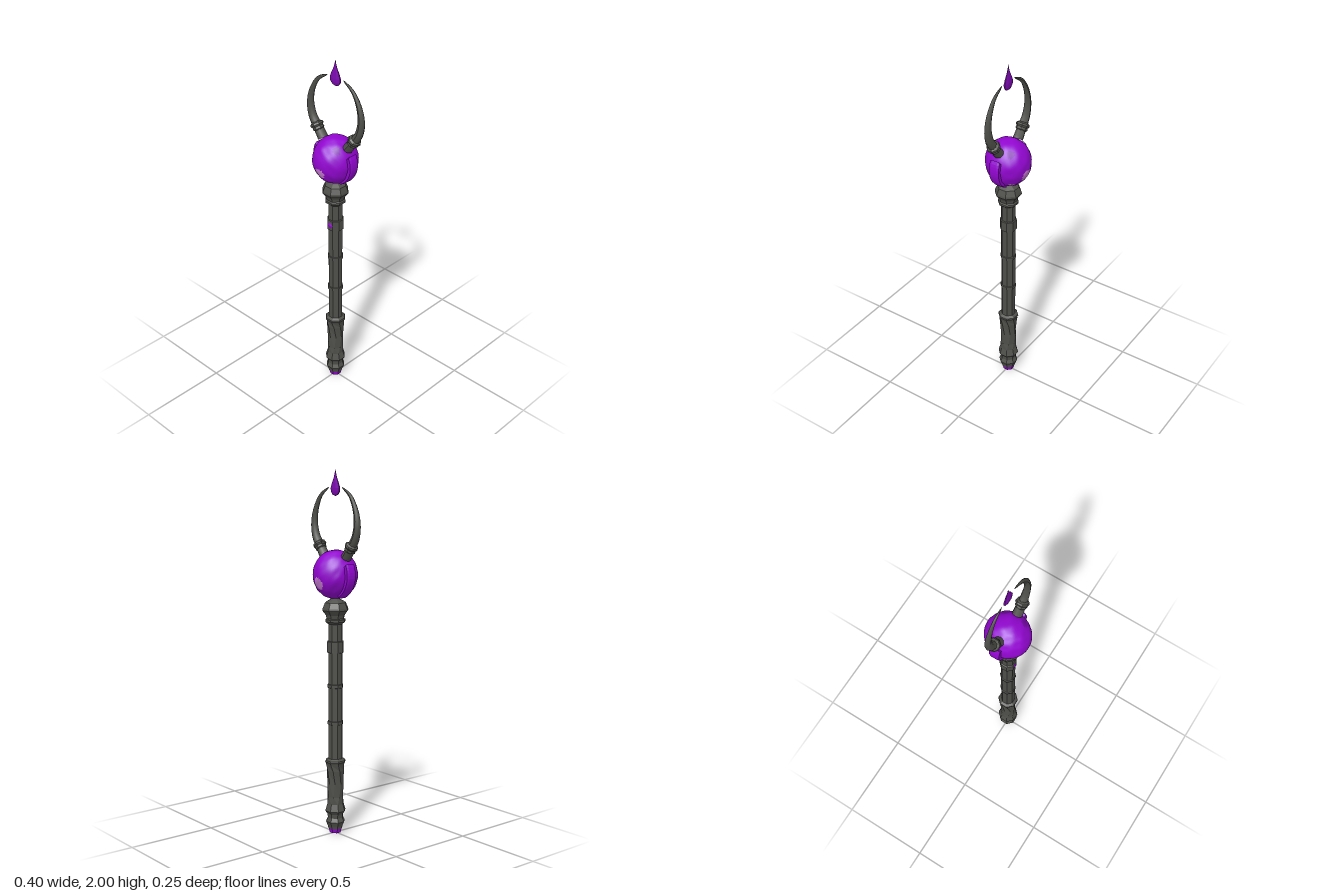
import * as THREE from 'three';
import { mergeVertices } from 'three/addons/utils/BufferGeometryUtils.js';

const stone = new THREE.MeshStandardMaterial({ color: 0x4e4f4a });
stone.name = 'dark stone';
const violet = new THREE.MeshStandardMaterial({ color: 0x9206d0 });
violet.name = 'violet crystal';
const deepViolet = new THREE.MeshStandardMaterial({ color: 0x7c0ab0 });
deepViolet.name = 'deep violet crystal';
const pale = new THREE.MeshStandardMaterial({ color: 0xcb7ed6 });
pale.name = 'pale glint';

// Gives every face its own normal
function faceted(geo) {
  const g = geo.index ? geo.toNonIndexed() : geo;
  g.computeVertexNormals();
  return g;
}

function add(parent, name, geo, material) {
  const mesh = new THREE.Mesh(geo, material);
  mesh.name = name;
  parent.add(mesh);
  return mesh;
}

// Eight-sided turned part with a flat side to the front; points are [half width, y]
function turned(points) {
  const k = 1 / Math.cos(Math.PI / 8);
  const pts = points.map(([r, y]) => new THREE.Vector2(r * k, y));
  return new THREE.LatheGeometry(pts, 8, Math.PI / 8, Math.PI * 2);
}

// Carved grip: the middle rings are turned so that the sides break into diagonals
function gripGeometry() {
  const geo = turned([[0.043, 0.17], [0.041, 0.21], [0.041, 0.29], [0.045, 0.36], [0.05, 0.4]]);
  const p = geo.attributes.position;
  for (let i = 0; i < p.count; i++) {
    const t = (p.getY(i) - 0.17) / 0.23;
    const a = Math.sin(t * Math.PI) * 0.45;
    const x = p.getX(i), z = p.getZ(i);
    p.setX(i, x * Math.cos(a) + z * Math.sin(a));
    p.setZ(i, z * Math.cos(a) - x * Math.sin(a));
  }
  return faceted(geo);
}

// Rough crystal ball; faces near the spot directions take another material
function orbGeometry() {
  const ball = new THREE.IcosahedronGeometry(1, 11);
  ball.deleteAttribute('normal');
  ball.deleteAttribute('uv');
  const geo = mergeVertices(ball);
  const p = geo.attributes.position;
  const v = new THREE.Vector3();
  for (let i = 0; i < p.count; i++) {
    v.fromBufferAttribute(p, i);
    const bump = Math.sin(v.x * 9 + v.y * 4) * Math.sin(v.y * 8 - v.z * 5) * Math.cos(v.z * 7 + 1);
    const r = 0.127 + 0.003 * bump;
    p.setXYZ(i, v.x * r * 0.93, v.y * r * 1.04, v.z * r * 0.97);
  }
  // x, y, z, size, material: pale glints low down, darker dents on the upper left
  const spots = [
    [-0.02, -0.37, 1, 0.24, 1], [0.03, -0.38, -1, 0.27, 1], [0.56, -0.82, -0.56, 0.13, 1],
    [0.5, 0.7, 0.45, 0.17, 2], [0.5, 0.7, -0.45, 0.17, 2],
  ].map(([x, y, z, size, part]) => ({ dir: new THREE.Vector3(x, y, z).normalize(), size, part }));
  const faces = [[], [], []];
  const index = geo.index.array;
  for (let i = 0; i < index.length; i += 3) {
    const corners = [index[i], index[i + 1], index[i + 2]];
    const c = new THREE.Vector3();
    for (const k of corners) c.add(v.fromBufferAttribute(p, k));
    c.normalize();
    const spot = spots.find((s) => c.distanceTo(s.dir) < s.size);
    faces[spot ? spot.part : 0].push(...corners);
  }
  geo.setIndex(faces.flat());
  geo.computeVertexNormals();
  geo.clearGroups();
  let start = 0;
  faces.forEach((list, part) => {
    geo.addGroup(start, list.length, part);
    start += list.length;
  });
  return geo;
}

// Crescent crystal shell that hugs one side of the orb
function shellGeometry() {
  const shape = new THREE.Shape();
  shape.absarc(0, 0, 0.133, -1.1, 0.45, false);
  shape.absarc(-0.012, 0, 0.122, 0.35, -1.0, true);
  shape.closePath();
  const geo = new THREE.ExtrudeGeometry(shape, {
    depth: 0.034, curveSegments: 7, bevelEnabled: true, bevelThickness: 0.012, bevelSize: 0.004, bevelSegments: 1,
  });
  return faceted(geo.translate(0, 0, -0.017));
}

// Tapering horn along a curve in the xy plane
function hornGeometry() {
  const path = [[0.088, 1.535], [0.127, 1.588], [0.163, 1.64], [0.178, 1.71], [0.165, 1.785], [0.122, 1.86], [0.055, 1.904]];
  const curve = new THREE.CatmullRomCurve3(path.map(([x, y]) => new THREE.Vector3(x, y, 0)));
  const rings = 28, sides = 8;
  const geo = new THREE.TubeGeometry(curve, rings, 1, sides);
  const p = geo.attributes.position;
  const v = new THREE.Vector3();
  for (let i = 0; i < p.count; i++) {
    const t = Math.floor(i / (sides + 1)) / rings;
    const c = curve.getPointAt(t);
    const r = 0.0015 + 0.027 * Math.pow(1 - t, 0.6);
    v.fromBufferAttribute(p, i).sub(c);
    p.setXYZ(i, c.x + v.x * r, c.y + v.y * r, v.z * r * (1 - 0.35 * t));
  }
  geo.computeVertexNormals();
  return geo;
}

export function createModel() {
  const model = new THREE.Group();
  model.name = 'staff';

  // Pommel
  add(model, 'pommelTip', faceted(turned([[0, 0], [0.03, 0.003], [0.036, 0.03], [0, 0.03]])), violet);
  add(model, 'pommel', faceted(turned([
    [0, 0.028], [0.037, 0.028], [0.041, 0.045], [0.05, 0.068], [0.04, 0.09], [0.042, 0.112],
    [0.054, 0.13], [0.05, 0.145], [0.043, 0.17],
  ])), stone);

  // Grip and its top ring
  add(model, 'grip', gripGeometry(), stone);
  add(model, 'gripRing', faceted(turned([[0.042, 0.385], [0.054, 0.41], [0.052, 0.418], [0.037, 0.428]])), stone);

  // Shaft and its bands
  add(model, 'shaft', faceted(turned([[0.037, 0.4], [0.037, 1.2]])), stone);
  for (const [y, h, r] of [[0.63, 0.016, 0.041], [0.835, 0.016, 0.041], [1.05, 0.06, 0.043]]) {
    add(model, 'shaftBand', faceted(turned([
      [0.036, y - h / 2 - 0.003], [r, y - h / 2], [r, y + h / 2], [0.036, y + h / 2 + 0.003],
    ])), stone);
  }
  const gem = add(model, 'shaftGem', faceted(new THREE.OctahedronGeometry(0.019)), violet);
  gem.position.set(0, 1.05, 0.043);
  gem.scale.z = 0.3;

  // Head socket
  add(model, 'socket', faceted(turned([
    [0.037, 1.175], [0.052, 1.188], [0.052, 1.2], [0.045, 1.205], [0.05, 1.225], [0.068, 1.25],
    [0.066, 1.262], [0.054, 1.292], [0.034, 1.305], [0, 1.325],
  ])), stone);

  // Orb
  add(model, 'orb', orbGeometry(), [violet, pale, deepViolet]).position.y = 1.443;

  // Shells and horns, one set for each side
  const shell = shellGeometry();
  const horn = hornGeometry();
  const collar = faceted(turned([
    [0.024, -0.024], [0.03, -0.018], [0.028, -0.006], [0.035, 0.004], [0.032, 0.014], [0.02, 0.022],
  ]));
  for (const turn of [0, Math.PI]) {
    const side = new THREE.Group();
    side.name = turn ? 'rightSide' : 'leftSide';
    side.rotation.y = turn;
    add(side, 'orbShell', shell, violet).position.y = 1.443;
    add(side, 'horn', horn, stone);
    const ring = add(side, 'hornCollar', collar, stone);
    ring.position.set(0.13, 1.592, 0);
    ring.rotation.z = -0.6;
    model.add(side);
  }

  // Flat floating flame drop
  const drop = [[0, 1.858], [0.02, 1.864], [0.033, 1.881], [0.035, 1.9], [0.026, 1.925], [0.012, 1.955], [0.005, 1.978], [0, 2]];
  const flame = add(model, 'flameDrop', faceted(turned(drop)), deepViolet);
  flame.scale.z = 0.28;

  return model;
}
